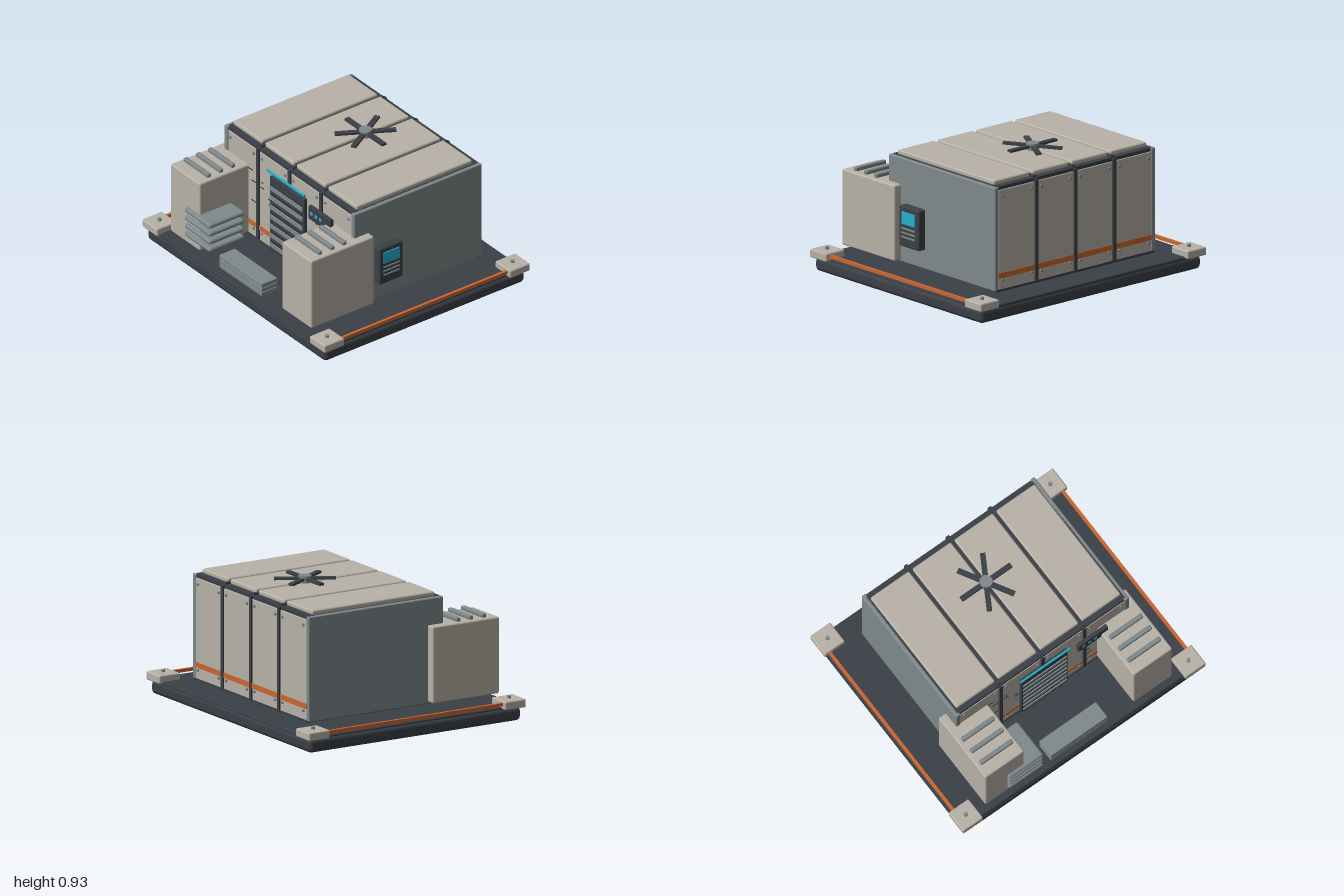
import * as THREE from 'three';
import { RoundedBoxGeometry } from 'three/addons/geometries/RoundedBoxGeometry.js';

const mat = (name, color) => {
  const m = new THREE.MeshStandardMaterial({ color });
  m.name = name;
  return m;
};

export function createModel() {
  const root = new THREE.Group();
  root.name = 'shelterModule';
  const beige = mat('beige panel', 0xb8b2a7);
  const slate = mat('slate grey', 0x7f898b);
  const dark = mat('dark frame', 0x3b4047);
  const black = mat('louvre shadow', 0x272b30);
  const orange = mat('orange stripe', 0xcb6630);
  const cyan = mat('cyan light', 0x22b2ce);

  const add = (name, geometry, material, x, y, z, parent = root) => {
    const m = new THREE.Mesh(geometry, material);
    m.name = name;
    m.position.set(x, y, z);
    parent.add(m);
    return m;
  };
  // Box given by its limits on each axis; r > 0 rounds the edges
  const box = (name, material, [x0, x1], [y0, y1], [z0, z1], r = 0, parent = root) => {
    const w = x1 - x0, h = y1 - y0, d = z1 - z0;
    const g = r > 0 ? new RoundedBoxGeometry(w, h, d, 2, r) : new THREE.BoxGeometry(w, h, d);
    return add(name, g, material, (x0 + x1) / 2, (y0 + y1) / 2, (z0 + z1) / 2, parent);
  };
  // The same box on both sides of x = 0
  const pair = (name, material, [x0, x1], y, z, r) => {
    box(name + 'Left', material, [x0, x1], y, z, r);
    box(name + 'Right', material, [-x1, -x0], y, z, r);
  };

  // Base slab
  box('baseSlab', dark, [-0.975, 0.975], [0, 0.095], [-0.835, 0.835], 0.03);
  box('baseDeck', dark, [-0.96, 0.96], [0.07, 0.105], [-0.828, 0.828], 0.008);
  pair('sideRail', orange, [0.95, 0.97], [0.115, 0.137], [-0.7, 0.7]);

  // Corner pads with bolts
  const padBolt = new THREE.CylinderGeometry(0.014, 0.014, 0.02, 12);
  for (const sx of [-1, 1]) for (const sz of [-1, 1]) {
    const x = sx * 0.917, z = sz * 0.773;
    box('cornerPad', beige, [x - 0.083, x + 0.083], [0.092, 0.15], [z - 0.083, z + 0.083], 0.01);
    add('cornerBolt', padBolt, slate, x, 0.157, z);
  }

  // Building core and side walls
  box('core', dark, [-0.69, 0.69], [0.13, 0.855], [-0.655, 0.37]);
  pair('sideWall', slate, [0.675, 0.712], [0.137, 0.855], [-0.673, 0.39], 0.008);

  // Cladding: four bays on the roof, front and back
  const wallBolt = new THREE.CylinderGeometry(0.01, 0.01, 0.012, 10).rotateX(Math.PI / 2);
  const pitch = 0.345;
  for (let i = 0; i < 4; i++) {
    const x = (i - 1.5) * pitch, span = [x - 0.159, x + 0.159];
    box('roofPanel', beige, span, [0.853, 0.888], [-0.622, 0.343], 0.012);
    for (const s of [-1, 1]) {
      const wall = new THREE.Group();
      wall.name = s > 0 ? 'frontBay' : 'backBay';
      const face = s > 0 ? 0.385 : -0.67;
      const depth = (a, b) => [Math.min(face + s * a, face + s * b), Math.max(face + s * a, face + s * b)];
      box('wallPanel', beige, span, [0.142, 0.832], depth(-0.02, 0), 0.005, wall);
      box('wallStripe', orange, span, [0.22, 0.257], depth(-0.004, 0.003), 0, wall);
      for (const bx of [-0.128, 0.128]) for (const by of [0.205, 0.79])
        add('wallBolt', wallBolt, slate, x + bx, by, face + s * 0.004, wall);
      root.add(wall);
    }
  }
  for (const x of [-pitch, 0, pitch]) {
    box('frontPost', dark, [x - 0.013, x + 0.013], [0.132, 0.85], [0.36, 0.394]);
    box('backPost', dark, [x - 0.013, x + 0.013], [0.132, 0.85], [-0.679, -0.65]);
    box('roofSeam', dark, [x - 0.013, x + 0.013], [0.85, 0.868], [-0.655, 0.37]);
  }
  box('frontTopRail', dark, [-0.675, 0.675], [0.83, 0.856], [0.335, 0.38]);
  box('backTopRail', dark, [-0.675, 0.675], [0.83, 0.856], [-0.664, -0.62]);
  box('frontSill', dark, [-0.7, 0.7], [0.13, 0.145], [0.36, 0.391]);
  box('backSill', dark, [-0.7, 0.7], [0.13, 0.145], [-0.676, -0.65]);

  // Scuff marks on the front panels: x, y, length
  const scuffs = [[-0.43, 0.65, 0.05], [-0.39, 0.57, 0.05], [-0.3, 0.604, 0.02], [-0.3, 0.563, 0.035],
    [-0.223, 0.508, 0.02], [-0.215, 0.47, 0.03], [-0.39, 0.417, 0.045], [0.295, 0.577, 0.02],
    [0.3, 0.503, 0.03], [0.375, 0.406, 0.02], [0.38, 0.337, 0.045]];
  for (const [x, y, l] of scuffs)
    box('scuff', black, [x - l / 2, x + l / 2], [y - 0.003, y + 0.003], [0.383, 0.388]);

  // Louvred door with light strip
  box('doorFrame', dark, [-0.19, 0.19], [0.14, 0.722], [0.38, 0.41], 0.006);
  box('doorRecess', black, [-0.178, 0.178], [0.16, 0.66], [0.405, 0.412]);
  for (let i = 0; i < 7; i++) {
    const y = 0.64 - i * 0.0735;
    box('doorSlat', slate, [-0.178, 0.178], [y - 0.015, y + 0.015], [0.405, 0.42]);
    box('doorSlatGap', dark, [-0.178, 0.178], [y - 0.044, y - 0.022], [0.405, 0.416]);
  }
  box('doorLight', cyan, [-0.205, 0.205], [0.757, 0.771], [0.412, 0.424]);

  // Indicator panel
  box('indicatorPanel', dark, [0.265, 0.505], [0.625, 0.725], [0.405, 0.434], 0.005);
  for (const x of [0.305, 0.353, 0.4])
    box('indicatorLamp', cyan, [x - 0.012, x + 0.012], [0.668, 0.69], [0.43, 0.438]);

  // Front equipment cabinets with top vents
  pair('cabinet', beige, [0.449, 0.77], [0.147, 0.672], [0.267, 0.793], 0.012);
  for (const z of [0.49, 0.59, 0.692])
    pair('cabinetVent', slate, [0.475, 0.742], [0.672, 0.701], [z - 0.016, z + 0.016], 0.008);

  // Stacked cooling fins beside the right cabinet
  for (let i = 0; i < 4; i++) {
    const y = 0.226 + i * 0.062;
    box('coolingFin', slate, [-0.592, -0.307], [y - 0.018, y + 0.018], [0.523, 0.818], 0.0175);
  }

  // Layered front step
  for (let i = 0; i < 3; i++) {
    const y = 0.133 + i * 0.033;
    box('stepLayer', slate, [-0.233, 0.233], [y, y + 0.031], [0.665, 0.797], 0.004);
  }

  // Control console on the left wall
  box('console', dark, [0.7, 0.77], [0.27, 0.55], [0.025, 0.223], 0.012);
  box('consoleScreen', cyan, [0.767, 0.777], [0.43, 0.515], [0.06, 0.19]);
  for (const y of [0.4, 0.37, 0.34])
    box('consoleKeyRow', slate, [0.766, 0.777], [y - 0.005, y + 0.005], [0.058, 0.192]);

  // Roof fan
  const fan = new THREE.Group();
  fan.name = 'roofFan';
  fan.position.set(0, 0.91, -0.245);
  add('fanHub', new THREE.CylinderGeometry(0.044, 0.044, 0.048, 20), slate, 0, 0, 0, fan);
  for (let i = 0; i < 6; i++) {
    const arm = new THREE.Group();
    arm.name = 'fanArm';
    arm.rotation.y = i * Math.PI / 3;
    box('fanBlade', dark, [0.02, 0.205], [-0.004, 0.012], [-0.018, 0.018], 0, arm);
    fan.add(arm);
  }
  root.add(fan);
  return root;
}
